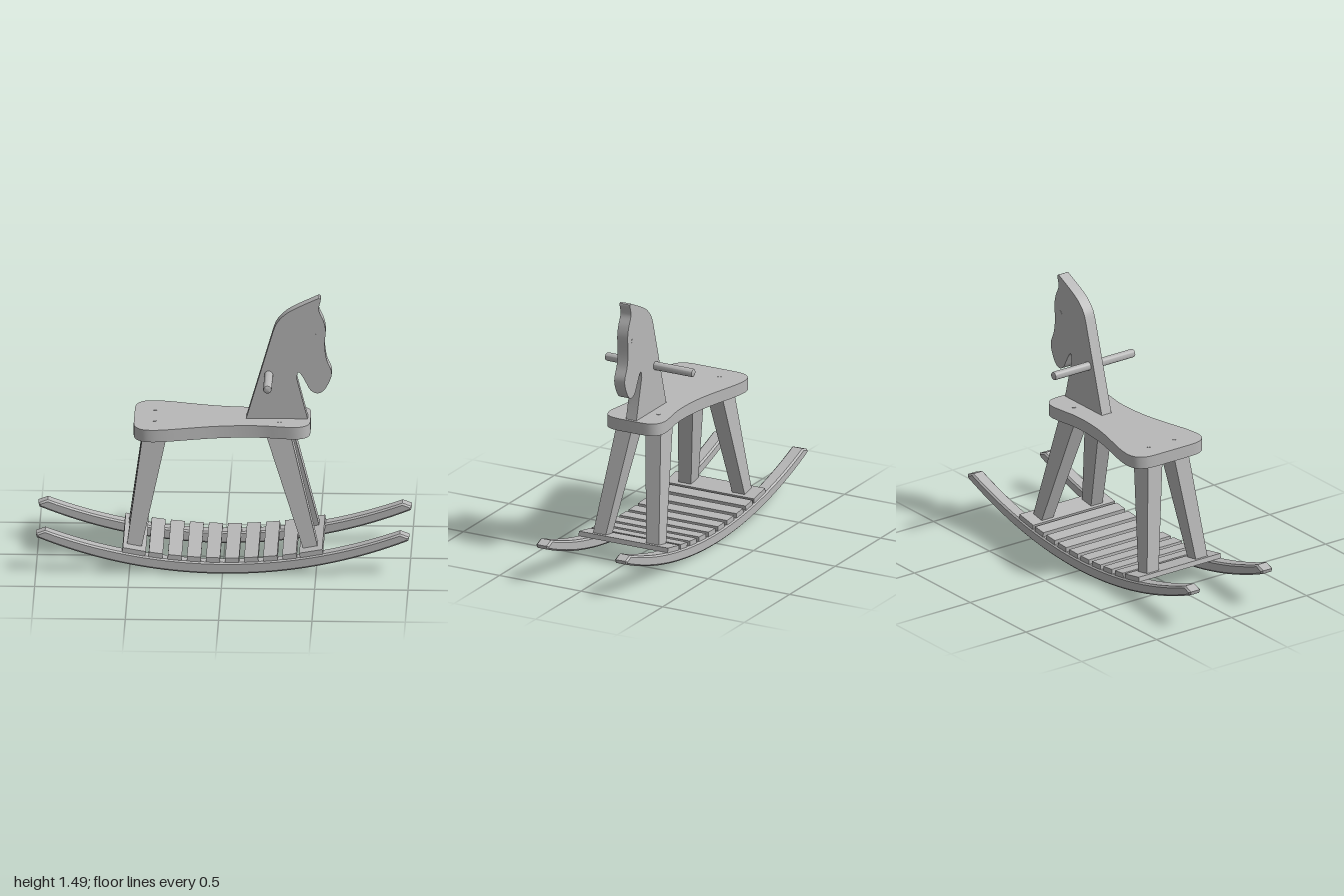
import * as THREE from 'three';
import { toCreasedNormals } from 'three/addons/utils/BufferGeometryUtils.js';

const wood = new THREE.MeshStandardMaterial({ color: 0xb8b8b8 });
wood.name = 'plain wood';

const vecs = (list) => list.map(([x, y]) => new THREE.Vector2(x, y));

function add(parent, name, geometry) {
  const mesh = new THREE.Mesh(geometry, wood);
  mesh.name = name;
  parent.add(mesh);
  return mesh;
}

// Extrude a shape, keeping the rim smooth and the edges sharp
function board(shape, depth, bevel = 0) {
  const geometry = new THREE.ExtrudeGeometry(shape, {
    depth: depth - 2 * bevel, curveSegments: 4, bevelEnabled: bevel > 0,
    bevelThickness: bevel, bevelSize: bevel, bevelOffset: -bevel, bevelSegments: 1,
  });
  geometry.translate(0, 0, -depth / 2 + bevel);
  return toCreasedNormals(geometry, 0.5);
}

// Tops of the rockers follow this arc
const TOP_R = 2.71, TOP_Y = 0.065 + TOP_R, BOTTOM_R = 2.6;

function rockerShape() {
  const points = [];
  for (let i = -20; i <= 20; i++) {
    const x = i * 0.0497;
    points.push([x, BOTTOM_R - Math.sqrt(BOTTOM_R ** 2 - x * x)]);
  }
  points.push([1, 0.218]);
  for (let i = 20; i >= -20; i--) {
    const x = i * 0.0475;
    points.push([x, TOP_Y - Math.sqrt(TOP_R ** 2 - x * x)]);
  }
  points.push([-1, 0.218]);
  return new THREE.Shape(vecs(points));
}

function seatShape() {
  const side = [[-0.48, 0.12], [-0.472, 0.175], [-0.44, 0.22], [-0.385, 0.235], [-0.3, 0.225],
    [-0.18, 0.195], [-0.05, 0.165], [0.08, 0.149], [0.2, 0.148], [0.3, 0.162],
    [0.38, 0.17], [0.43, 0.155], [0.457, 0.12], [0.465, 0.07]];
  const shape = new THREE.Shape();
  shape.moveTo(-0.48, 0.12);
  shape.splineThru(vecs(side.slice(1)));
  const mirrored = side.map(([x, y]) => [x, -y]).reverse();
  shape.lineTo(...mirrored[0]);
  shape.splineThru(vecs(mirrored.slice(1)));
  shape.closePath();
  return shape;
}

function headShape() {
  const shape = new THREE.Shape();
  shape.moveTo(0.12, 0.8);
  shape.lineTo(0.262, 1.29);
  // Crest up to the ear
  shape.splineThru(vecs([[0.283, 1.342], [0.326, 1.39], [0.385, 1.428], [0.508, 1.487]]));
  // Ear, brow, nose, muzzle and jaw
  shape.splineThru(vecs([[0.519, 1.475], [0.508, 1.42], [0.533, 1.36], [0.545, 1.3], [0.54, 1.22],
    [0.55, 1.14], [0.576, 1.075], [0.572, 1.03], [0.54, 0.968], [0.503, 0.946],
    [0.465, 0.963], [0.438, 1.01], [0.417, 1.048], [0.398, 1.064], [0.39, 1.03]]));
  shape.lineTo(0.449, 0.8);
  shape.closePath();
  return shape;
}

// Tapered, splayed leg: a box whose corners move to the top and bottom sections
function legGeometry(top, bottom) {
  const geometry = new THREE.BoxGeometry(1, 1, 1).toNonIndexed();
  const p = geometry.attributes.position;
  for (let i = 0; i < p.count; i++) {
    const s = p.getY(i) > 0 ? top : bottom;
    p.setXYZ(i, s.x + p.getX(i) * s.w, s.y, s.z + p.getZ(i) * s.d);
  }
  geometry.computeVertexNormals();
  return geometry;
}

export function createModel() {
  const model = new THREE.Group();
  model.name = 'rockingHorse';

  // Rockers
  for (const side of [1, -1]) {
    const rocker = add(model, side > 0 ? 'frontRocker' : 'backRocker', board(rockerShape(), 0.076, 0.009));
    rocker.position.z = side * 0.241;
  }

  // Foot slats laid along the rocker arc, with a wider plank at each end
  function slat(name, x, width) {
    const angle = Math.asin(x / TOP_R), r = TOP_R - 0.013;
    const mesh = add(model, name, new THREE.BoxGeometry(width, 0.027, 0.546));
    mesh.position.set(r * Math.sin(angle), TOP_Y - r * Math.cos(angle), 0);
    mesh.rotation.z = angle;
  }
  for (let i = 0; i < 8; i++) slat('slat', (i - 3.5) * 0.103, 0.075);
  for (const side of [1, -1]) slat('endPlank', side * 0.477, 0.125);

  // Legs
  for (const z of [1, -1]) {
    add(model, 'rearLeg', legGeometry(
      { x: -0.367, y: 0.735, z: z * 0.086, w: 0.13, d: 0.096 },
      { x: -0.476, y: 0.122, z: z * 0.165, w: 0.08, d: 0.077 }));
    add(model, 'foreLeg', legGeometry(
      { x: 0.297, y: 0.735, z: z * 0.086, w: 0.132, d: 0.096 },
      { x: 0.47, y: 0.122, z: z * 0.165, w: 0.08, d: 0.077 }));
  }

  // Seat with four peg ends
  const seat = add(model, 'seat', board(seatShape(), 0.068));
  seat.rotation.x = -Math.PI / 2;
  seat.position.y = 0.766;
  for (const x of [-0.37, 0.3]) for (const z of [0.085, -0.085]) {
    add(model, 'seatPeg', new THREE.CylinderGeometry(0.011, 0.011, 0.004, 16)).position.set(x, 0.8, z);
  }

  // Head board with an eye on each face
  add(model, 'head', board(headShape(), 0.064));
  for (const side of [1, -1]) {
    const eye = add(model, 'eye', new THREE.CylinderGeometry(0.013, 0.013, 0.004, 20));
    eye.rotation.x = Math.PI / 2;
    eye.position.set(0.492, 1.27, side * 0.032);
  }

  // Handle bar with softened ends
  const bar = new THREE.LatheGeometry(vecs([[0, -0.268], [0.016, -0.268], [0.021, -0.265], [0.023, -0.257],
    [0.023, 0.257], [0.021, 0.265], [0.016, 0.268], [0, 0.268]]), 28);
  const handle = add(model, 'handle', toCreasedNormals(bar, 0.6));
  handle.rotation.x = Math.PI / 2;
  handle.position.set(0.24, 1.048, 0);

  return model;
}
